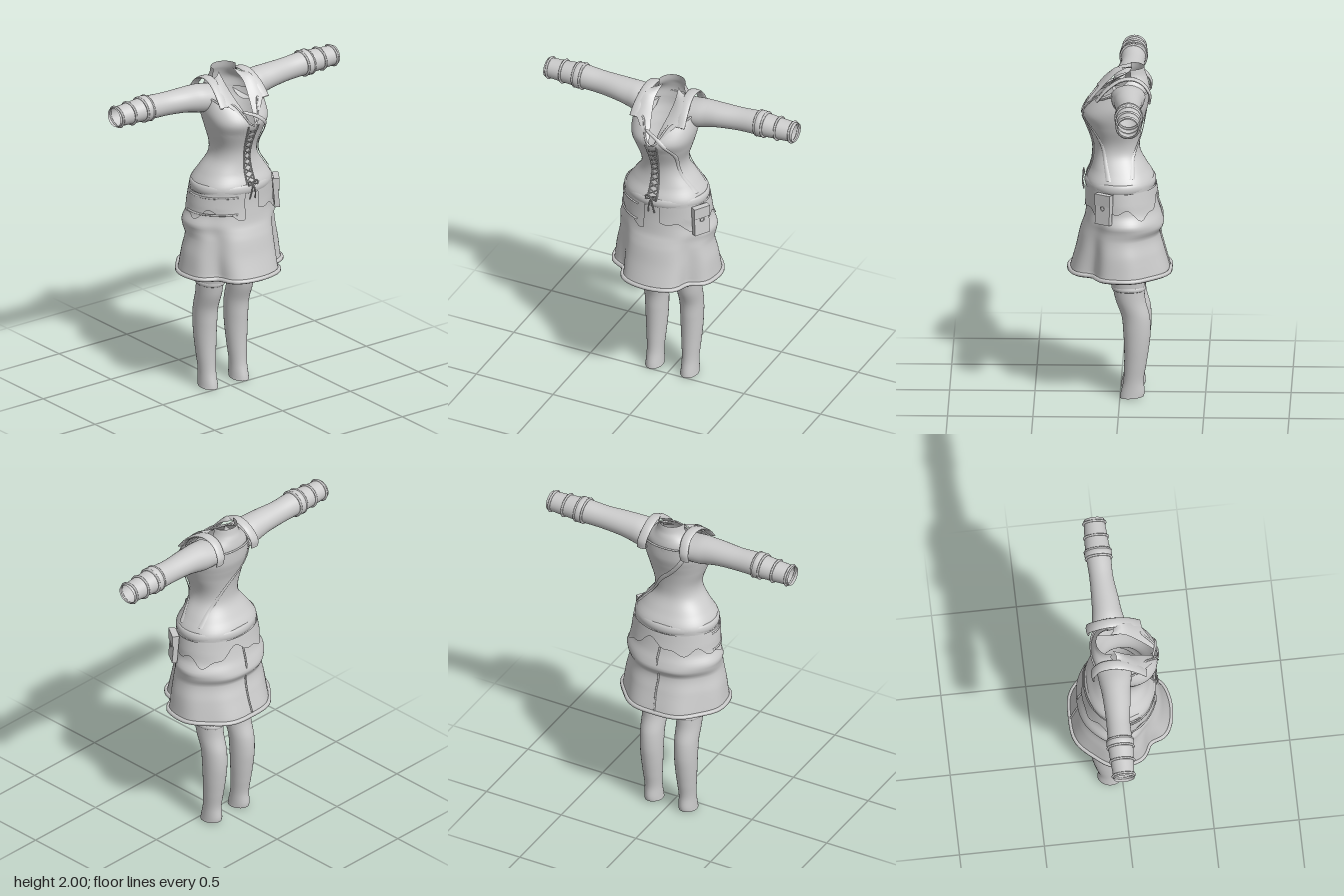
import * as THREE from 'three';
import { ParametricGeometry } from 'three/addons/geometries/ParametricGeometry.js';

const cloth = new THREE.MeshStandardMaterial({ color: 0xcccccc, side: THREE.DoubleSide });
cloth.name = 'plain grey cloth';
const { sin, cos, abs, PI, exp, min, max, sign, pow } = Math;
const clamp01 = t => min(1, max(0, t));
const V = (x, y, z) => new THREE.Vector3(x, y, z);

// Smooth lookup in rows [key, a, b, c]
function sample(rows, k) {
  const n = rows.length - 1;
  let i = 0;
  while (i < n - 1 && k > rows[i + 1][0]) i++;
  const p = rows[i], q = rows[i + 1], o = rows[max(0, i - 1)], r = rows[min(n, i + 2)];
  const h = q[0] - p[0], t = clamp01((k - p[0]) / h), t2 = t * t, t3 = t2 * t;
  return p.slice(1).map((v, j) => {
    const c = j + 1;
    const m0 = (q[c] - o[c]) / (q[0] - o[0]) * h, m1 = (r[c] - p[c]) / (r[0] - p[0]) * h;
    return (2 * t3 - 3 * t2 + 1) * p[c] + (t3 - 2 * t2 + t) * m0 + (3 * t2 - 2 * t3) * q[c] + (t3 - t2) * m1;
  });
}

// Surface rows: [y, half width, front z, back z]; angle 0 is the front, PI/2 is +x
const TORSO = [[1.28, .25, .2, -.2], [1.33, .245, .2, -.2], [1.4, .2, .17, -.16], [1.48, .145, .155, -.12],
  [1.55, .137, .16, -.115], [1.65, .168, .195, -.13], [1.72, .188, .222, -.15], [1.78, .195, .195, -.165],
  [1.88, .185, .115, -.17]];
const SKIRT = [[.76, .325, .3, -.3], [.8, .32, .288, -.29], [.9, .308, .26, -.26], [1, .288, .238, -.235],
  [1.05, .292, .222, -.258], [1.09, .297, .208, -.25], [1.15, .268, .2, -.228], [1.22, .26, .195, -.212], [1.3, .25, .195, -.2]];
const YOKE = [[1.82, .185, .15, -.168], [1.88, .16, .09, -.17], [1.93, .1, .03, -.16], [1.96, .085, .02, -.148], [2, .08, .02, -.14]];

function ringPoint([hw, zf, zb], a, y, off = 0, power = 1) {
  const s = sin(a), c = cos(a);
  return V((hw + off) * sign(s) * pow(abs(s), power), y,
    (zf + zb) / 2 + ((zf - zb) / 2 + off) * sign(c) * pow(abs(c), power));
}
const torsoPoint = (a, y, off = 0) => ringPoint(sample(TORSO, y), a, y, off, .88);
function skirtPoint(a, y, off = 0) {
  const p = ringPoint(sample(SKIRT, y), a, y, off);
  const w = Math.atan2(sin(a), cos(a)), depth = clamp01((1.2 - y) / .4);
  const k = 1 - .17 * depth * exp(-pow((abs(w) - .88) / .25, 2)) + .02 * depth * cos(7 * w) * clamp01(abs(w) - 1);
  p.x *= k; p.z *= k;
  return p;
}

export function createModel() {
  const model = new THREE.Group();
  const add = (name, geometry, parent = model) => {
    const m = new THREE.Mesh(geometry, cloth);
    m.name = name;
    parent.add(m);
    return m;
  };
  const sheet = (f, nu, nv) => new ParametricGeometry((u, v, t) => t.copy(f(u, v)), nu, nv);
  const cord = (pts, r, closed = false, n = 40) =>
    new THREE.TubeGeometry(new THREE.CatmullRomCurve3(pts, closed), n, r, 6, closed);
  const loop = f => Array.from({ length: 48 }, (_, i) => f(i / 48 * 2 * PI));

  // Bodice with a notched neckline
  const neckline = a => 1.865 - .15 * exp(-pow(a / .3, 2)) - .03 * exp(-pow((abs(a) - .75) / .25, 2));
  add('bodice', sheet((u, v) => {
    const a = (u - .5) * 2 * PI;
    return torsoPoint(a, 1.28 + (neckline(a) - 1.28) * v);
  }, 64, 36));
  add('bodiceTopEdge', cord(Array.from({ length: 65 }, (_, i) => {
    const a = (i / 64 - .5) * 2 * PI;
    return torsoPoint(a, neckline(a), .002);
  }), .006, false, 96));

  // Shirt yoke rising to a half collar, open in front
  add('yoke', sheet((u, v) => {
    const gap = .45 + 1.1 * clamp01(v * 1.3), a = gap + u * 2 * (PI - gap), y = 1.82 + .18 * v;
    return ringPoint(sample(YOKE, y), a, y);
  }, 40, 14));

  // Hip belt and skirt
  add('hipBelt', sheet((u, v) => {
    const y = 1.28 + .06 * v;
    return ringPoint([.248, .198, -.198], u * 2 * PI, y, .014 * pow(sin(PI * v), .5) - .002);
  }, 56, 10));
  add('skirt', sheet((u, v) => skirtPoint((u - .5) * 2 * PI, .76 + .53 * v), 96, 36));
  add('skirtHem', cord(loop(a => skirtPoint(a, .772, .003)), .014, true, 120));
  add('skirtBackSeam', cord([1.28, 1.2, 1.1, 1, .9, .77].map((y, i) => skirtPoint(PI + .02 * (i % 2), y, .003)), .006));

  // Ragged overskirt around the hips
  const ragged = a => 1.16 + .025 * sin(5 * a) + .015 * sin(11 * a + 1) + .06 * exp(-pow((a - PI) / .5, 2));
  add('overskirt', sheet((u, v) => {
    const a = .18 + u * (2 * PI - .36), y0 = ragged(a);
    return skirtPoint(a, y0 + (1.29 - y0) * v, .012);
  }, 90, 8));
  for (const y of [1.165, 1.27])
    add('hipStrap', cord(Array.from({ length: 12 }, (_, i) => skirtPoint(-.35 - i * .13, y, .012)), .006));

  // Pouch on the left hip
  const pouch = new THREE.Group();
  pouch.name = 'pouch';
  pouch.position.set(.262, 1.2, .09);
  pouch.rotation.set(0, 1, 0);
  add('pouchBody', new THREE.BoxGeometry(.1, .18, .03), pouch).rotation.x = -.08;
  add('pouchFlap', new THREE.BoxGeometry(.105, .07, .036), pouch).position.set(0, .058, .002);
  add('pouchBuckle', new THREE.TorusGeometry(.013, .003, 6, 12), pouch).position.set(0, .01, .019);
  model.add(pouch);

  // Lacing, crossing at the bust, with a small bow
  for (const s of [-1, 1]) {
    add('laceEdge', cord([1.34, 1.42, 1.5, 1.58, 1.66, 1.71].map((y, i) =>
      torsoPoint(s * (.09 + .012 * i), y, .004)), .005));
    for (let i = 0; i < 9; i++) {
      const y = 1.36 + i * .037, w = s * (.09 + i * .008);
      add('lace', cord([torsoPoint(-w, y, .006), torsoPoint(0, y + .015, .008), torsoPoint(w, y + .03, .006)], .003, false, 6));
    }
    add('bowLoop', cord([V(0, 1.345, .21), V(s * .03, 1.362, .216), V(s * .034, 1.34, .218)], .004, true, 16));
    add('bowTail', cord([V(0, 1.345, .215), V(s * .012, 1.3, .222), V(s * .02, 1.25, .212)], .004, false, 10));
  }

  // Sash from the right shoulder to the left hip, front and back
  const sash = (name, path) => add(name, sheet((u, v) => {
    const y = path[0][0] + (path[path.length - 1][0] - path[0][0]) * v;
    const rows = path.map(([py, a]) => [-py, a]).sort((p, q) => p[0] - q[0]);
    const a = sample(rows, -y)[0];
    return torsoPoint(a + (u - .5) * .17, y, .007 + .004 * sin(PI * u));
  }, 4, 40));
  sash('sashFront', [[1.8, -.2], [1.76, .15], [1.7, .5], [1.62, .85], [1.52, 1.05], [1.44, 1.15], [1.36, 1.28]]);
  sash('sashBack', [[1.86, PI + .75], [1.75, PI + .4], [1.65, PI], [1.55, PI - .5], [1.46, PI - .95], [1.37, PI - 1.2]]);

  // Sleeve rows: [x, top y, bottom y, front z, back z]
  const SLEEVE = [[.12, 1.92, 1.77, .055, -.15], [.2, 1.935, 1.765, .045, -.143], [.25, 1.938, 1.775, .035, -.137],
    [.32, 1.938, 1.79, .027, -.133], [.45, 1.938, 1.8, .01, -.13], [.57, 1.945, 1.803, .01, -.135],
    [.62, 1.942, 1.805, .01, -.137], [.7, 1.935, 1.808, .004, -.132], [.81, 1.928, 1.814, -.003, -.125]];
  const STOCKING = [[0, .054, 0, -.14], [.02, .052, -.002, -.146], [.1, .05, -.02, -.14], [.2, .057, -.025, -.155],
    [.3, .064, -.025, -.17], [.4, .068, -.02, -.18], [.5, .07, -.01, -.175], [.6, .073, .025, -.15], [.69, .075, .045, -.143]];

  for (const s of [-1, 1]) {
    const side = s > 0 ? 'left' : 'right';
    const sleevePoint = (a, x, off = 0) => {
      const [yt, yb, zf, zb] = sample(SLEEVE, x);
      return V(s * x, (yt + yb) / 2 - s * sin(a) * ((yt - yb) / 2 + off), (zf + zb) / 2 + cos(a) * ((zf - zb) / 2 + off));
    };
    add(side + 'Sleeve', sheet((u, v) => sleevePoint(u * 2 * PI, .12 + .69 * v), 32, 40));
    // Cuff bands and stitched rings
    add(side + 'CuffBand', sheet((u, v) =>
      sleevePoint(u * 2 * PI, .565 + .055 * v, .008 * pow(sin(PI * v), .4)), 32, 10));
    for (const x of [.57, .615, .7, .79])
      add(side + 'CuffRing', cord(loop(a => sleevePoint(a, x + .004 * sin(a), .003)), .007, true, 48));

    // Shoulder strap arching from front to back
    const arch = new THREE.CatmullRomCurve3([V(.15, 1.83, .135), V(.145, 1.89, .085), V(.135, 1.945, .01),
      V(.13, 1.96, -.06), V(.13, 1.935, -.13), V(.14, 1.87, -.175), V(.145, 1.82, -.172)]);
    add(side + 'ShoulderStrap', sheet((u, v) => {
      const p = arch.getPoint(v), t = arch.getTangent(v), a = u * 2 * PI;
      const n = V(0, -t.z, t.y).normalize();
      return V(s * (p.x + .03 * cos(a)), p.y - n.y * .009 * sin(a), p.z - n.z * .009 * sin(a));
    }, 14, 30));

    // Folded collar flap beside the open neck
    const flap = [[.05, 1.98, -.05, .1, 1.955, -.03], [.062, 1.93, .03, .125, 1.95, .035],
      [.05, 1.86, .1, .14, 1.86, .12], [.03, 1.79, .165, .09, 1.8, .175], [.015, 1.72, .215, .03, 1.725, .222]];
    const rows = flap.map((r, i) => [i / 4, ...r]);
    add(side + 'CollarFlap', sheet((u, v) => {
      const [ax, ay, az, bx, by, bz] = sample(rows, v);
      const k = s > 0 ? u : 1 - u;
      return V(s * (ax + (bx - ax) * k), ay + (by - ay) * k, az + (bz - az) * k + .008 * sin(PI * k));
    }, 6, 16));

    // Stocking, its top band, and the short leg above it
    const leg = new THREE.Group();
    leg.name = side + 'Leg';
    leg.position.x = s * .114;
    const legPoint = (a, y, off = 0) => ringPoint(sample(STOCKING, y), a, y, off);
    add('stocking', sheet((u, v) => {
      const p = legPoint(u * 2 * PI, .69 * v);
      p.y += (1 - v) * (1 - v) * .012 * clamp01(.5 - (p.z + .07) * 7);
      return p;
    }, 28, 36), leg);
    add('stockingBand', sheet((u, v) =>
      legPoint(u * 2 * PI, .662 + .028 * v, .007 * pow(sin(PI * v), .4)), 32, 8), leg);
    add('shortsLeg', sheet((u, v) => {
      const p = ringPoint([.079 + .022 * v, .05 + .06 * v, -.148 - .02 * v], u * 2 * PI, .685 + .31 * v);
      if (p.x * s < 0) p.x *= 1 + .3 * clamp01(v * 4);
      return p;
    }, 28, 12), leg);
    model.add(leg);
  }
  return model;
}
